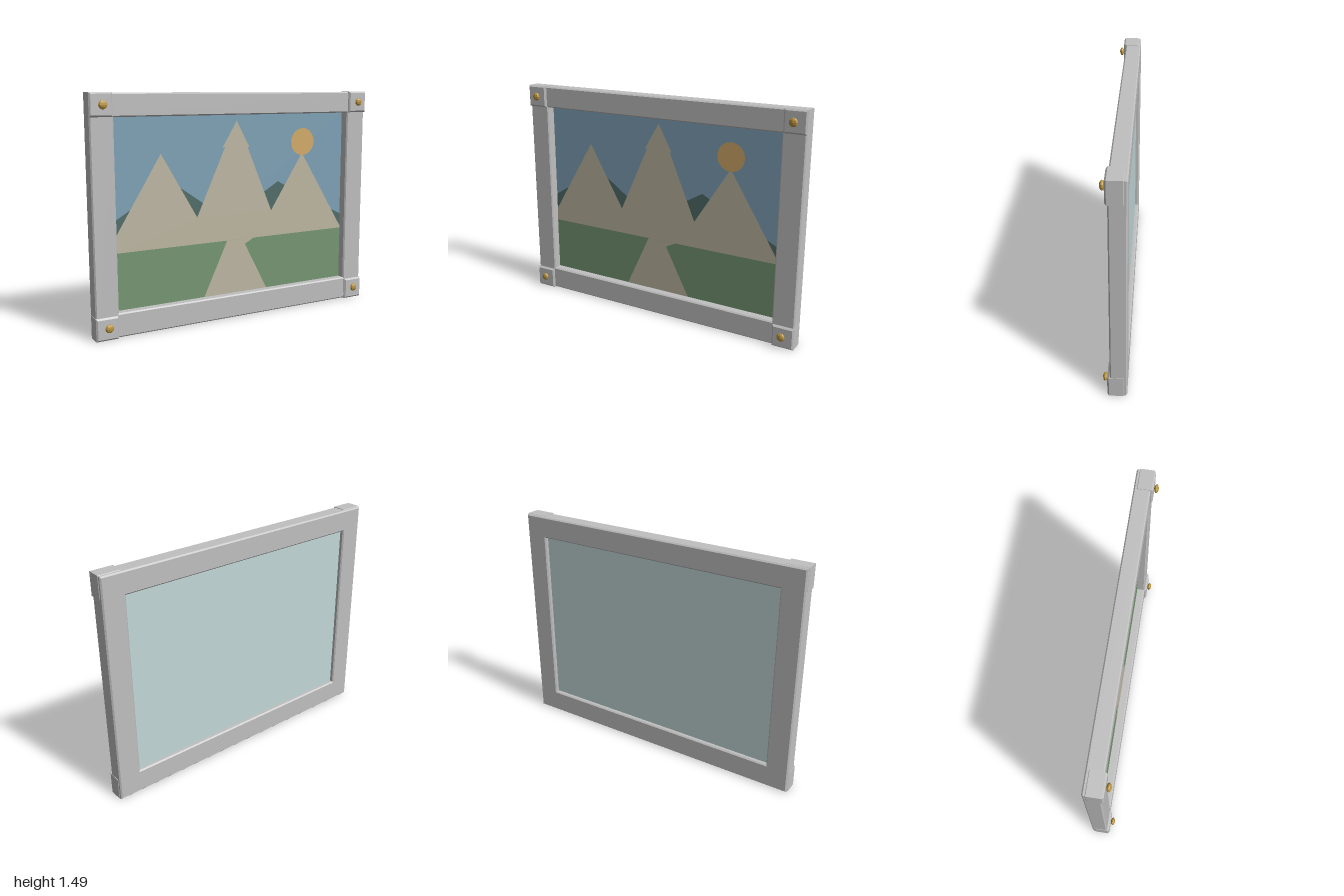
import * as THREE from 'three';

const mat = (name, color, side = THREE.FrontSide) => {
  const m = new THREE.MeshStandardMaterial({ color, side });
  m.name = name;
  return m;
};

// rectangle outline points
const rect = (x0, y0, x1, y1) =>
  [[x0, y0], [x1, y0], [x1, y1], [x0, y1]].map(([x, y]) => new THREE.Vector2(x, y));

// slab with chamfered edges, outer size equal to its outline
function chamferedSlab(shape, z0, z1, bevel) {
  const geo = new THREE.ExtrudeGeometry(shape, {
    depth: z1 - z0 - 2 * bevel, bevelEnabled: true, bevelSegments: 1,
    bevelSize: bevel, bevelThickness: bevel, bevelOffset: -bevel,
  });
  return geo.translate(0, 0, z0 + bevel);
}

export function createModel() {
  const group = new THREE.Group();
  const grey = mat('frame grey', 0xc0c0c0);
  const brass = mat('brass', 0xbb953f);
  const backing = mat('pale backing', 0xc2d8d8);
  const sky = mat('sky blue', 0x80a3b8);
  const teal = mat('hill teal', 0x526d6a);
  const sand = mat('sand', 0xbeb8a3);
  const green = mat('meadow green', 0x769772);
  const gold = mat('sun gold', 0xd4ad69);

  const add = (name, geo, material, x = 0, y = 0, z = 0) => {
    const mesh = new THREE.Mesh(geo, material);
    mesh.name = name;
    mesh.position.set(x, y, z);
    group.add(mesh);
    return mesh;
  };

  // frame with its opening
  const outline = new THREE.Shape(rect(-0.997, 0.003, 0.997, 1.482));
  outline.holes.push(new THREE.Path(rect(-0.85, 0.155, 0.85, 1.34)));
  add('frame', chamferedSlab(outline, -0.073, 0.03, 0.008), grey);

  // raised corner blocks with flattened studs
  const block = new THREE.Shape(rect(-0.0715, -0.0715, 0.0715, 0.0715));
  const blockGeo = chamferedSlab(block, -0.06, 0.045, 0.01);
  const studGeo = new THREE.SphereGeometry(0.027, 8, 6).toNonIndexed();
  studGeo.scale(1, 1, 0.55);
  studGeo.computeVertexNormals();
  for (const sx of [-1, 1]) {
    for (const [cy, studY] of [[0.0715, 0.08], [1.4135, 1.413]]) {
      add('cornerBlock', blockGeo, grey, sx * 0.9285, cy);
      add('stud', studGeo, brass, sx * 0.923, studY, 0.06);
    }
  }

  // backing board and sky
  add('backBoard', new THREE.BoxGeometry(1.74, 1.22, 0.012), backing, 0, 0.7475, -0.04);
  add('sky', new THREE.BoxGeometry(1.72, 1.2, 0.004), sky, 0, 0.7475, -0.032);

  // painted layers, stacked from back to front
  let layer = -0.03;
  const paint = (name, material, points) => {
    layer += 0.0015;
    const shape = new THREE.Shape(points.map(([x, y]) => new THREE.Vector2(x, y)));
    add(name, new THREE.ShapeGeometry(shape), material, 0, 0, layer);
  };
  paint('hills', teal, [[-0.85, 0.5], [0.85, 0.5], [0.85, 0.618], [0.39, 0.848], [0.32, 0.885],
    [0.2, 0.815], [0, 0.65], [-0.24, 0.775], [-0.45, 0.92], [-0.74, 0.775], [-0.85, 0.71]]);
  paint('mountains', sand, [[-0.85, 0.5], [0.85, 0.5], [0.85, 0.53], [0.513, 1.07], [0.267, 0.69],
    [0.082, 1.125], [0.096, 1.125], [0, 1.3], [-0.107, 1.125], [-0.085, 1.135],
    [-0.29, 0.69], [-0.535, 1.11], [-0.85, 0.6]]);
  paint('meadow', green, [[-0.85, 0.15], [0.85, 0.15], [0.85, 0.515], [-0.85, 0.515]]);
  paint('path', sand, [[-0.247, 0.15], [0.232, 0.15], [0.06, 0.48], [0.128, 0.515], [-0.075, 0.515]]);

  // sun
  add('sun', new THREE.CircleGeometry(0.092, 32), gold, 0.513, 1.147, layer + 0.0015);

  return group;
}
